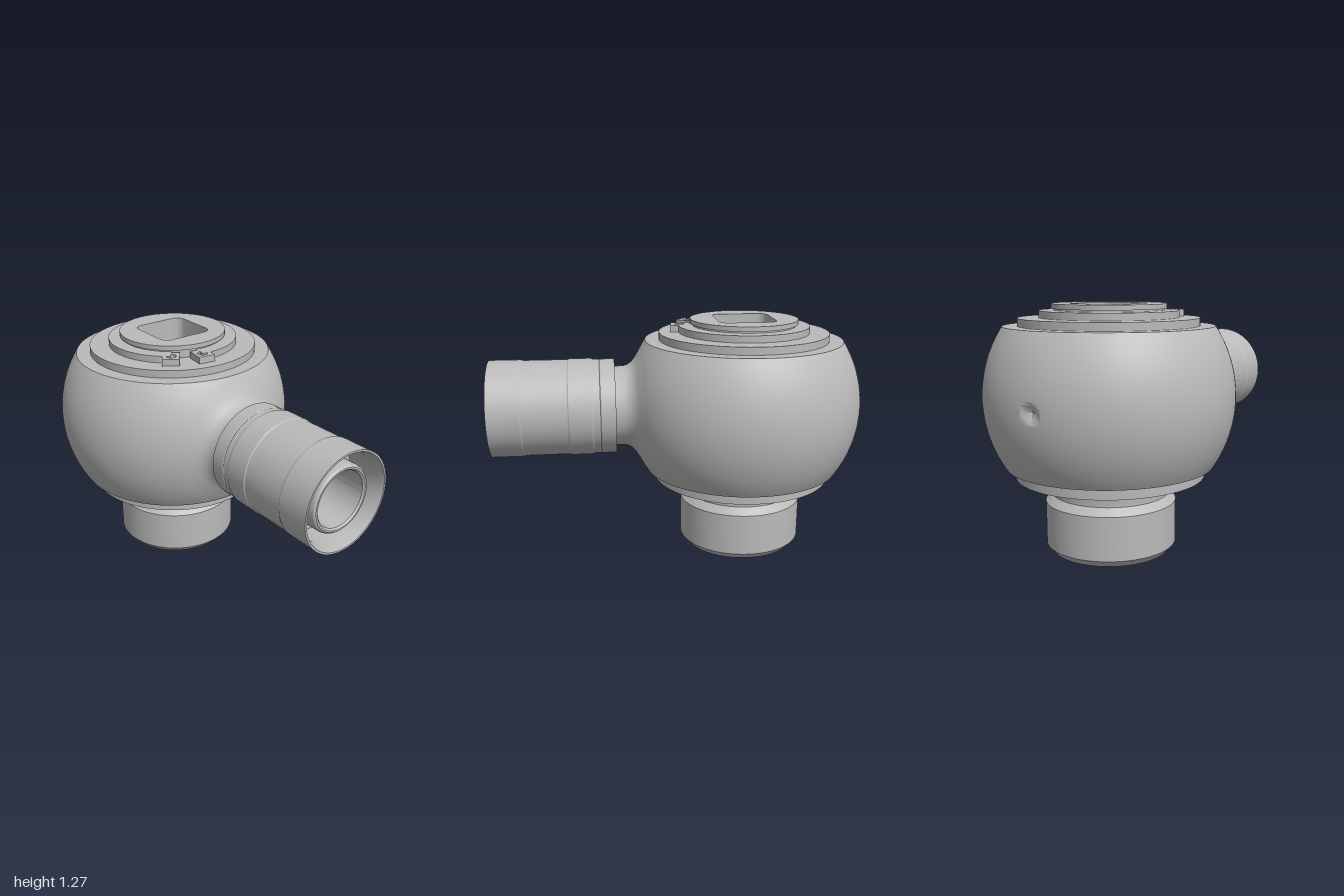
import * as THREE from 'three';
import { toCreasedNormals } from 'three/addons/utils/BufferGeometryUtils.js';

const AXIS_X = -0.36, MID_Y = 0.805, R = 0.64;

export function createModel() {
  const model = new THREE.Group();
  model.name = 'swivelFitting';
  const steel = new THREE.MeshStandardMaterial({ color: 0xbababa });
  steel.name = 'grey metal';

  const add = (name, geometry, x = 0, y = 0, z = 0, parent = model) => {
    const mesh = new THREE.Mesh(toCreasedNormals(geometry, 0.4), steel);
    mesh.name = name;
    mesh.position.set(x, y, z);
    parent.add(mesh);
    return mesh;
  };
  // Profiles are [radius, height] pairs, running up the outside
  const lathe = (points, segments = 96) =>
    new THREE.LatheGeometry(points.map(([r, h]) => new THREE.Vector2(r, h)), segments);
  // Flat shapes extruded upward; shape y points to -z
  const slab = (shape, depth) =>
    new THREE.ExtrudeGeometry(shape, { depth, bevelEnabled: false, curveSegments: 48 }).rotateX(-Math.PI / 2);

  // Ball body cut flat above and below
  const profile = [[0.2, 0.455]];
  for (let i = 0; i <= 40; i++) {
    const y = 0.455 + (1.16 - 0.455) * i / 40;
    profile.push([Math.sqrt(R * R - (y - MID_Y) ** 2), y]);
  }
  profile.push([0.27, 1.16]);
  const ball = lathe(profile, 144);
  // Small conical dimple opposite the arm
  const p = ball.attributes.position;
  for (let i = 0; i < p.count; i++) {
    const d = Math.hypot(p.getY(i) - MID_Y, p.getZ(i));
    if (p.getX(i) < 0 && d < 0.05) p.setX(i, p.getX(i) + 0.03 * (1 - d / 0.05));
  }
  add('ballBody', ball, AXIS_X);

  // Lower flange and hollow spigot
  add('lowerFlange', lathe([[0.2, 0.395], [0.487, 0.395], [0.487, 0.456]]), AXIS_X);
  add('spigot', lathe([
    [0, 0.36], [0.2, 0.36], [0.26, 0.3], [0.26, 0], [0.305, 0], [0.338, 0.038], [0.338, 0.263],
    [0.3, 0.3], [0.3, 0.375], [0.305, 0.388], [0.32, 0.396],
  ]), AXIS_X);

  // Top cover plate
  add('coverPlate', lathe([[0.457, 1.16], [0.457, 1.2], [0.25, 1.2]]), AXIS_X);

  // Retaining ring with two drilled lugs
  const ringGroup = new THREE.Group();
  ringGroup.name = 'retainingRing';
  ringGroup.position.set(AXIS_X, 1.2, 0);
  model.add(ringGroup);
  const start = -8 * Math.PI / 180, end = 324 * Math.PI / 180;
  const ring = new THREE.Shape();
  ring.absarc(0, 0, 0.352, start, end, false);
  ring.absarc(0, 0, 0.265, end, start, true);
  add('ringBand', slab(ring, 0.036), 0, 0, 0, ringGroup);
  for (const degrees of [8, 36]) {
    const lug = new THREE.Shape([[0.29, -0.045], [0.395, -0.045], [0.395, 0.045], [0.29, 0.045]]
      .map(([x, y]) => new THREE.Vector2(x, y)));
    const hole = new THREE.Path();
    hole.absarc(0.345, 0, 0.027, 0, Math.PI * 2, true);
    lug.holes.push(hole);
    add('ringLug', slab(lug, 0.036), 0, 0, 0, ringGroup).rotation.y = -degrees * Math.PI / 180;
  }

  // Drive stem with a rounded square socket
  const stemShape = (radius) => {
    const shape = new THREE.Shape();
    shape.absarc(0, 0, radius, 0, Math.PI * 2, false);
    const socket = new THREE.Path(), h = 0.153, c = 0.05;
    [[1, 1], [-1, 1], [-1, -1], [1, -1]].forEach(([sx, sy], i) =>
      socket.absarc(sx * (h - c), sy * (h - c), c, i * Math.PI / 2, (i + 1) * Math.PI / 2, false));
    socket.closePath();
    shape.holes.push(socket);
    return shape;
  };
  add('driveStem', slab(stemShape(0.278), 0.295), AXIS_X, 0.95, 0);
  add('stemCap', slab(stemShape(0.29), 0.025), AXIS_X, 1.245, 0);
  add('socketFloor', new THREE.CylinderGeometry(0.25, 0.25, 0.02, 48), AXIS_X, 0.945, 0);

  // Side arm parts turn about the x axis
  const arm = new THREE.Group();
  arm.name = 'sideArm';
  arm.position.y = MID_Y;
  model.add(arm);
  const armPart = (name, points) => add(name, lathe(points).rotateZ(-Math.PI / 2), 0, 0, 0, arm);

  armPart('armNeck', [
    [0.34, 0.18], [0.305, 0.203], [0.28, 0.217], [0.257, 0.231], [0.238, 0.247], [0.224, 0.266],
    [0.216, 0.29], [0.215, 0.345],
  ]);
  armPart('armSleeve', [
    [0.2, 0.34], [0.255, 0.34], [0.255, 0.415], [0.252, 0.42], [0.255, 0.425], [0.255, 0.455],
    [0.26, 0.465], [0.26, 0.582], [0.256, 0.588], [0.256, 0.825], [0.26, 0.832], [0.26, 1],
    [0.25, 1], [0.232, 0.94], [0.232, 0.8], [0.17, 0.8],
  ]);
  armPart('innerTube', [
    [0.176, 0.79], [0.176, 0.945], [0.172, 0.96], [0.163, 0.969], [0.154, 0.969], [0.145, 0.96],
    [0.143, 0.945], [0.143, 0.4], [0, 0.4],
  ]);
  return model;
}
